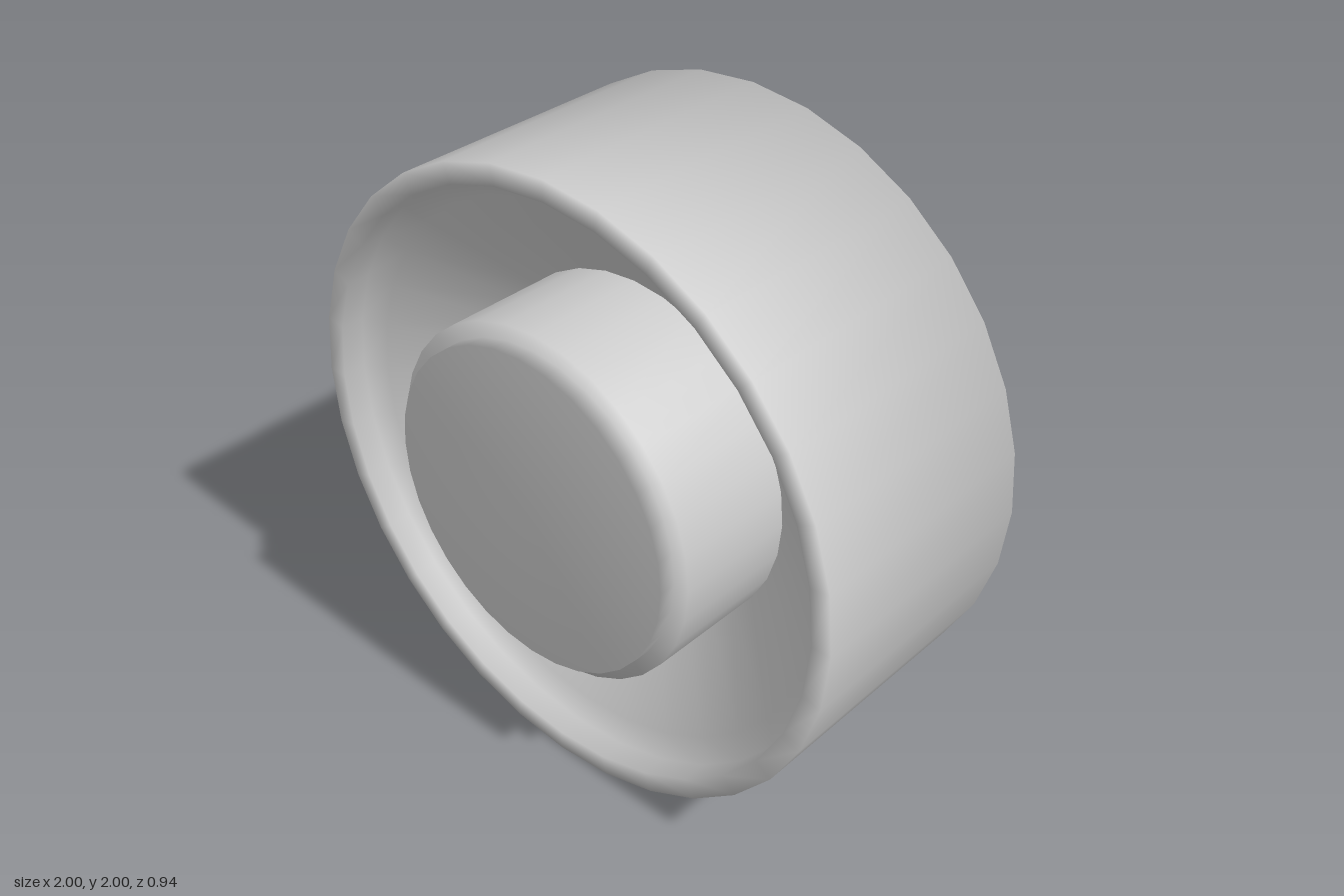
import * as THREE from 'three';

const SIDES = 32;
const material = new THREE.MeshStandardMaterial({ color: 0xcccccc, side: THREE.DoubleSide });

// Turned part: profile of [radius, z] points, spun about the z axis
function turned(name, profile) {
  const points = profile.map(([r, z]) => new THREE.Vector2(r, z));
  const geometry = new THREE.LatheGeometry(points, SIDES);
  geometry.rotateX(Math.PI / 2);
  const mesh = new THREE.Mesh(geometry, material);
  mesh.name = name;
  mesh.position.y = 1;
  return mesh;
}

export function createModel() {
  const model = new THREE.Group();
  model.name = 'dishedDrum';

  // Drum: closed back, outer wall, flat rim, stepped lip and conical dish
  model.add(turned('drum', [
    [0, -0.47], [1, -0.47], [1, 0.36],
    [0.935, 0.36], [0.935, 0.28], [0.865, 0.24],
    [0.565, 0.02],
  ]));

  // Hub: stepped plug rising from the bottom of the dish
  model.add(turned('hub', [
    [0.565, 0.02], [0.565, 0.415],
    [0.515, 0.415], [0.515, 0.47], [0, 0.47],
  ]));

  return model;
}
